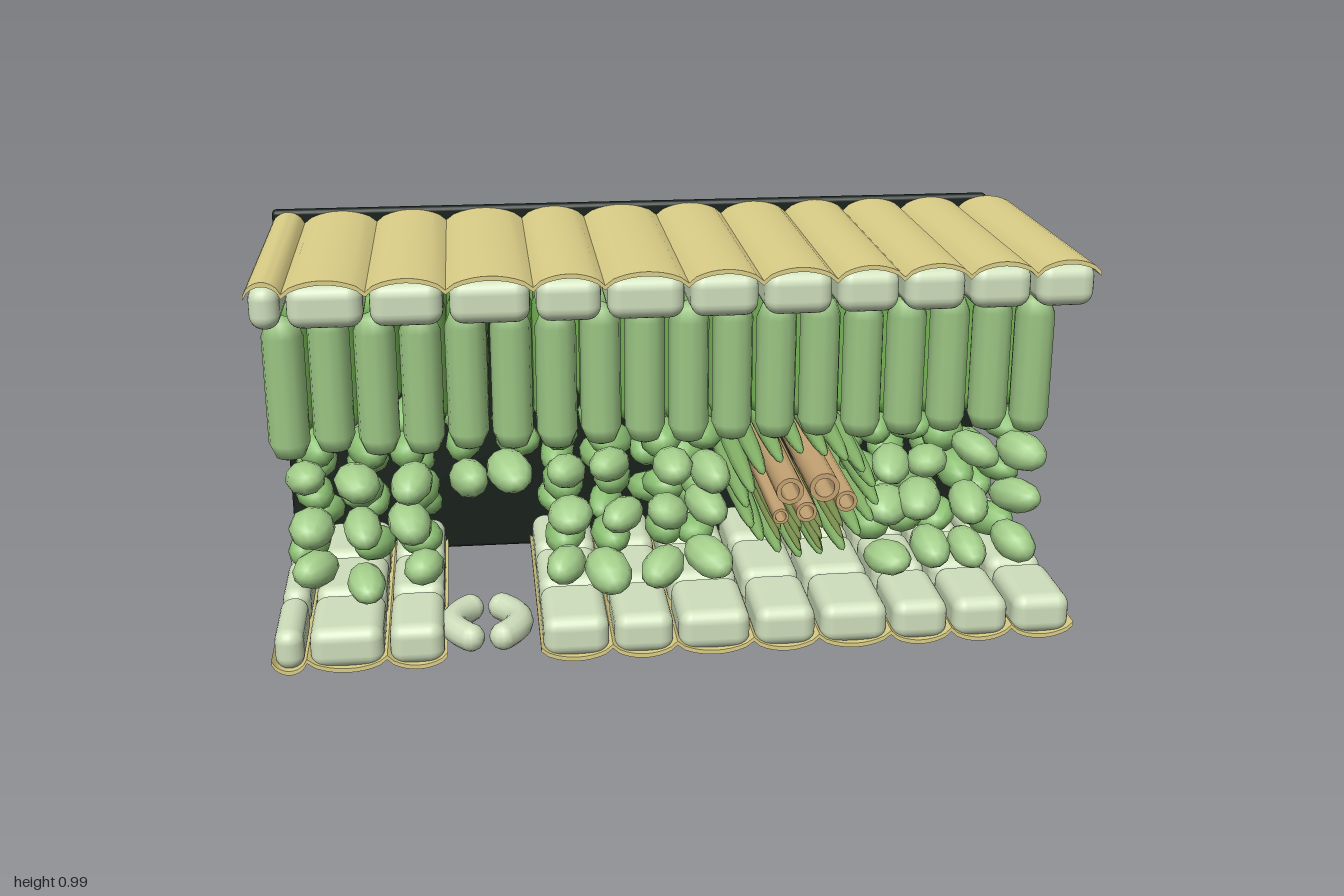
import * as THREE from 'three';
import { RoundedBoxGeometry } from 'three/addons/geometries/RoundedBoxGeometry.js';
import { toCreasedNormals } from 'three/addons/utils/BufferGeometryUtils.js';

const mat = (color, side = THREE.FrontSide) => new THREE.MeshStandardMaterial({ color, side });
const M = {
  cuticle: mat(0xdccf88, THREE.DoubleSide), skin: mat(0xcfdfbc), panel: mat(0x17211b),
  paleGreen: mat(0x9cc684), green: mat(0x72b252), spongyPale: mat(0xa5d08c), spongy: mat(0x8dc274),
  sheath: mat(0x86b56a), xylem: mat(0xc4a373, THREE.DoubleSide), phloem: mat(0x7d9150),
};
const Z_FRONT = 0.375, Z_BACK = -0.345;

let seed = 7;
const rand = () => (seed = (seed * 16807) % 2147483647) / 2147483647;
const jitter = (a) => (rand() * 2 - 1) * a;

function add(parent, name, geometry, material, x = 0, y = 0, z = 0) {
  const mesh = new THREE.Mesh(geometry, material);
  mesh.name = name;
  mesh.position.set(x, y, z);
  parent.add(mesh);
  return mesh;
}
function group(parent, name) {
  const g = new THREE.Group();
  g.name = name;
  parent.add(g);
  return g;
}

// Scalloped waxy sheet: one arch over each cell, extruded front to back
function cuticleGeometry(edges, yValley, rise) {
  const line = [], n = 10, t = 0.011;
  for (let i = 0; i < edges.length - 1; i++)
    for (let k = i ? 1 : 0; k <= n; k++) {
      const u = k / n;
      line.push([edges[i] + (edges[i + 1] - edges[i]) * u, yValley + rise * Math.pow(Math.max(0, Math.sin(Math.PI * u)), 0.6)]);
    }
  const inner = line.map(([x, y]) => [x, y - t * Math.sign(rise)]).reverse();
  const shape = new THREE.Shape([...line, ...inner].map(([x, y]) => new THREE.Vector2(x, y)));
  const geo = new THREE.ExtrudeGeometry(shape, { depth: Z_FRONT - Z_BACK, bevelEnabled: false });
  return toCreasedNormals(geo.translate(0, 0, Z_BACK), 0.7);
}

// Three-deep rows of pillow-shaped epidermis cells
function epidermis(parent, name, spans, y) {
  const g = group(parent, name);
  for (const [a, b] of spans)
    for (const z of [0.257, 0.015, -0.227])
      add(g, 'epidermisCell', new RoundedBoxGeometry(b - a, 0.105, 0.232, 3, 0.034), M.skin, (a + b) / 2, y, z);
}
const pairs = (edges) => edges.slice(1).map((b, i) => [edges[i] + 0.007, b - 0.007]);

export function createModel() {
  const root = new THREE.Group();
  root.name = 'leafSection';

  // Dark backing panel
  add(root, 'backPanel', new RoundedBoxGeometry(1.925, 0.98, 0.032, 2, 0.012), M.panel, -0.0375, 0.5, -0.36);

  // Upper and lower skins; the lower one is open at the pore
  const upper = [-1, -0.915, -0.727, -0.545, -0.345, -0.18, 0.015, 0.19, 0.365, 0.525, 0.685, 0.845, 1];
  const lowerLeft = [-1, -0.915, -0.722, -0.575];
  const lowerRight = [-0.347, -0.17, -0.01, 0.182, 0.347, 0.53, 0.685, 0.84, 1];
  epidermis(root, 'upperEpidermis', pairs(upper), 0.918);
  epidermis(root, 'lowerEpidermis', [...pairs(lowerLeft), ...pairs(lowerRight)], 0.058);
  add(root, 'upperCuticle', cuticleGeometry(upper, 0.955, 0.03), M.cuticle);
  add(root, 'lowerCuticleLeft', cuticleGeometry(lowerLeft, 0.03, -0.03), M.cuticle);
  add(root, 'lowerCuticleRight', cuticleGeometry(lowerRight, 0.03, -0.03), M.cuticle);

  // Pair of bowed guard cells around the pore
  const pore = group(root, 'pore');
  for (const s of [-1, 1]) {
    const ends = [1, -1].map((k) => new THREE.Vector3(s * 0.04, 0, k * 0.085));
    const curve = new THREE.QuadraticBezierCurve3(ends[0], new THREE.Vector3(s * 0.125, 0, 0), ends[1]);
    const g = group(pore, 'guardCell');
    add(g, 'guardBody', new THREE.TubeGeometry(curve, 14, 0.035, 12), M.skin);
    for (const e of ends) add(g, 'guardTip', new THREE.SphereGeometry(0.035, 12, 8), M.skin, e.x, e.y, e.z);
  }
  pore.position.set(-0.478, 0.062, 0.255);

  // Tall palisade cells in four rows
  const palisade = group(root, 'palisadeLayer');
  const column = new THREE.CapsuleGeometry(0.049, 0.262, 2, 12);
  [0.29, 0.115, -0.065, -0.24].forEach((z, r) => {
    for (let i = 0; i < 18; i++)
      add(palisade, 'palisadeCell', column, r ? M.green : M.paleGreen,
        -0.927 + i * 0.1058 + (r ? jitter(0.012) : 0), 0.712 + jitter(0.008), z);
  });

  // Loose spongy cells, with an air space above the pore and room for the vein
  const spongy = group(root, 'spongyLayer');
  const blob = new THREE.SphereGeometry(1, 10, 7).rotateX(Math.PI / 2);
  const sides = [-0.905, -0.775, -0.645, -0.275, -0.15, -0.02, 0.095, 0.53, 0.635, 0.745, 0.875];
  [[0.45, [...sides, -0.515, -0.4]], [0.33, sides], [0.2, sides]].forEach(([y, xs]) => {
    for (const x of xs)
      [0.24, 0.015, -0.22].forEach((z, r) => {
        const cell = add(spongy, 'spongyCell', blob, r ? M.spongy : M.spongyPale,
          x + jitter(0.02), y + jitter(0.018), z + jitter(0.02));
        cell.scale.set(0.052 + jitter(0.006), 0.045 + jitter(0.006), 0.08 + jitter(0.008));
        cell.rotation.set(jitter(0.2), jitter(0.45), jitter(0.5));
      });
  });

  // Vein: ring of spindle-shaped sheath cells
  const vein = group(root, 'vein');
  vein.position.set(0.325, 0.375, 0.015);
  const spindle = new THREE.SphereGeometry(1, 8, 8).rotateX(Math.PI / 2);
  for (let i = 0; i < 18; i++) {
    const a = (i / 18) * Math.PI * 2;
    const cell = add(vein, 'sheathCell', spindle, M.sheath, Math.cos(a) * 0.16, Math.sin(a) * 0.137, jitter(0.015));
    cell.scale.set(0.026, 0.024, 0.335);
  }

  // Hollow water tubes
  for (const [x, y, r] of [[-0.06, 0.05, 0.034], [0.025, 0.056, 0.037], [-0.018, -0.006, 0.026], [-0.082, -0.015, 0.02], [0.08, 0.018, 0.027]]) {
    const ring = new THREE.Shape().absarc(0, 0, r, 0, Math.PI * 2);
    ring.holes.push(new THREE.Path().absarc(0, 0, r * 0.66, 0, Math.PI * 2, true));
    const tube = new THREE.ExtrudeGeometry(ring, { depth: 0.71, bevelEnabled: false, curveSegments: 9 });
    add(vein, 'waterTube', toCreasedNormals(tube, 0.8), M.xylem, x, y, -0.355);
  }

  // Thin food-carrying strands below them
  for (let row = 0; row < 3; row++)
    for (let i = 0; i < 4; i++) {
      const strand = add(vein, 'foodStrand', spindle, M.phloem, -0.078 + i * 0.052, -0.06 - row * 0.03, 0);
      strand.scale.set(0.016, 0.011, 0.33);
    }
  return root;
}
